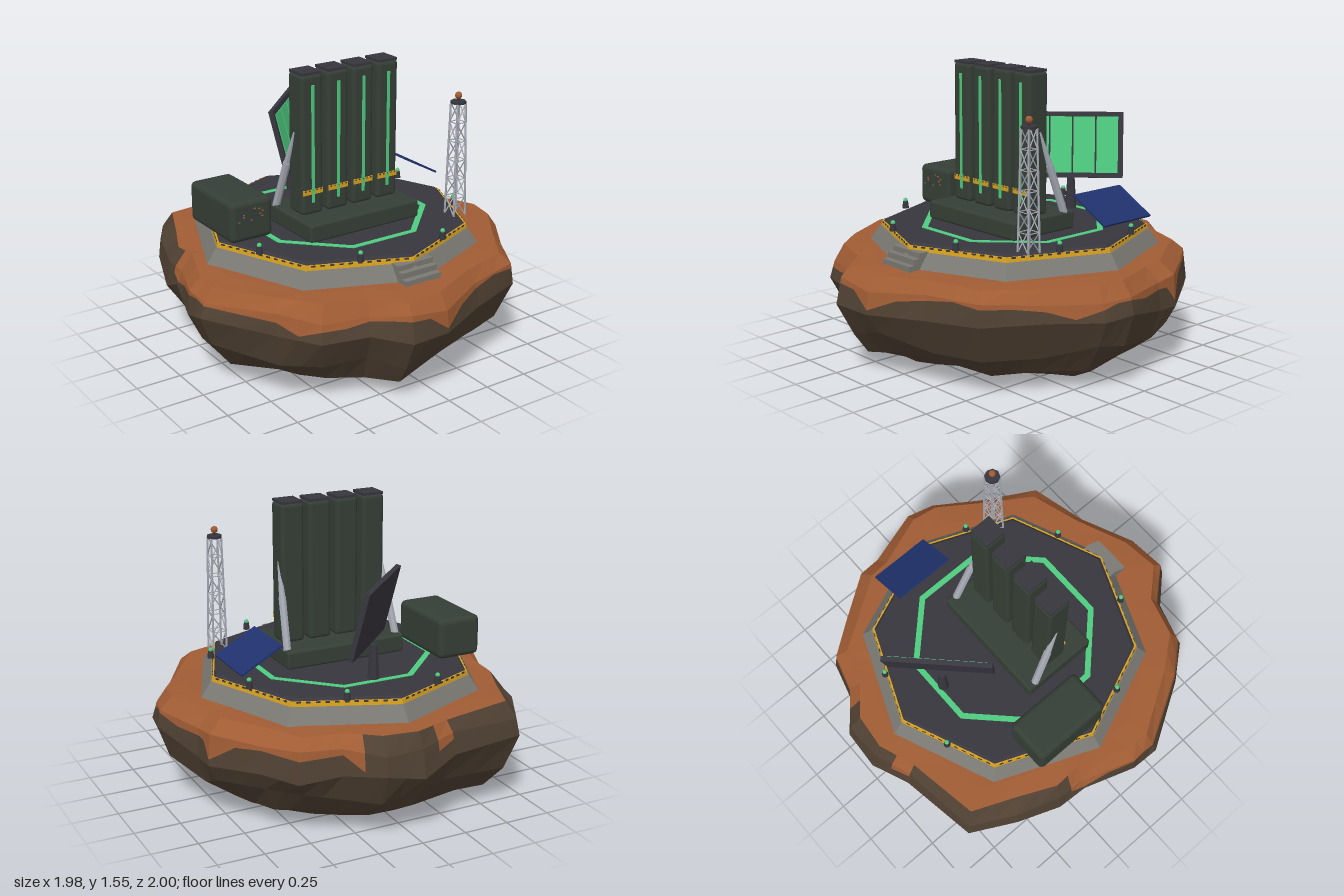
import * as THREE from 'three';
import { RoundedBoxGeometry } from 'three/addons/geometries/RoundedBoxGeometry.js';

const mat = (name, color) => {
  const m = new THREE.MeshStandardMaterial({ color });
  m.name = name;
  return m;
};
const M = {
  rock: mat('brown rock', 0x4f4032),
  soil: mat('rust soil', 0xa05c34),
  concrete: mat('concrete', 0x7b7973),
  deck: mat('dark deck', 0x38363e),
  olive: mat('dark olive', 0x353f36),
  green: mat('signal green', 0x4ecb7f),
  yellow: mat('warning yellow', 0xd6a01e),
  blue: mat('solar blue', 0x20326e),
  metal: mat('light metal', 0xa6a9b3),
};
const V = (x, y, z) => new THREE.Vector3(x, y, z);
const CX = -0.01, CZ = -0.03; // platform centre

let seed = 7;
const rand = () => (seed = (seed * 16807) % 2147483647) / 2147483647;
const jitter = (a) => (rand() - 0.5) * 2 * a;

function flat(geo) {
  const g = geo.index ? geo.toNonIndexed() : geo;
  g.computeVertexNormals();
  return g;
}
function add(parent, name, geo, material, x = 0, y = 0, z = 0) {
  const m = new THREE.Mesh(geo, material);
  m.name = name;
  m.position.set(x, y, z);
  parent.add(m);
  return m;
}
const box = (p, name, material, w, h, d, x, y, z) =>
  add(p, name, new THREE.BoxGeometry(w, h, d), material, x, y, z);
const rounded = (p, name, material, w, h, d, r, x, y, z) =>
  add(p, name, new RoundedBoxGeometry(w, h, d, 3, r), material, x, y, z);
function group(parent, name) {
  const g = new THREE.Group();
  g.name = name;
  parent.add(g);
  return g;
}
// Straight bar from a to b
function beam(p, name, material, a, b, ra, rb = ra, sides = 5) {
  const dir = b.clone().sub(a);
  const m = add(p, name, flat(new THREE.CylinderGeometry(rb, ra, dir.length(), sides)), material);
  m.position.copy(a).addScaledVector(dir, 0.5);
  m.quaternion.setFromUnitVectors(V(0, 1, 0), dir.normalize());
}

// Faceted boulder: one plan outline scaled through a stack of rings
function buildRock(root) {
  const outline = [
    [-0.01, -1], [0.2, -0.99], [0.37, -0.85], [0.58, -0.79], [0.71, -0.62], [0.88, -0.36],
    [0.89, -0.23], [0.99, 0.08], [0.96, 0.24], [0.79, 0.48], [0.61, 0.76], [0.3, 0.85],
    [0, 0.98], [-0.23, 1], [-0.38, 0.84], [-0.62, 0.77], [-0.77, 0.59], [-0.99, 0.23],
    [-0.98, 0.08], [-0.89, -0.21], [-0.87, -0.37], [-0.79, -0.61], [-0.66, -0.85], [-0.23, -0.92],
  ];
  // height, scale, height jitter, scale jitter
  const levels = [
    [0, 0, 0, 0], [0, 0.5, 0, 0.05], [0.035, 0.67, 0.015, 0.03], [0.11, 0.81, 0.03, 0.03],
    [0.23, 0.925, 0.04, 0.025], [0.38, 1, 0.04, 0], [0.505, 0.975, 0.02, 0.012],
    [0.572, 0.91, 0.008, 0.015], [0.578, 0.8, 0, 0], [0.578, 0, 0, 0],
  ];
  const rings = levels.map(([y, s, jy, js]) => {
    const pts = outline.map(([x, z]) => {
      const k = s + jitter(js);
      return V(x * k, y + jitter(jy), z * k);
    });
    return pts.flatMap((p, i) => [p, p.clone().lerp(pts[(i + 1) % pts.length], 0.5)]);
  });
  // Ragged soil edge with drips, lying on the band between two rings
  const edge = rings[5].map((p, i) => p.clone().lerp(rings[6][i], i % 7 === 3 ? 0.2 : 0.55 + rand() * 0.4));
  rings.splice(6, 0, edge);

  const rock = [], soil = [];
  const n = edge.length;
  for (let k = 0; k < rings.length - 1; k++) {
    for (let i = 0; i < n; i++) {
      const j = (i + 1) % n, a = rings[k], b = rings[k + 1];
      const bareBack = k < 8 && ((i >= 39 && i < 46) || i < 3 || i === 47);
      const out = k < 6 || bareBack ? rock : soil;
      for (const p of [a[j], a[i], b[i], a[j], b[i], b[j]]) out.push(p.x, p.y, p.z);
    }
  }
  const make = (data) => {
    const g = new THREE.BufferGeometry();
    g.setAttribute('position', new THREE.Float32BufferAttribute(data, 3));
    return flat(g);
  };
  add(root, 'rockBody', make(rock), M.rock);
  add(root, 'soilCap', make(soil), M.soil);
}

function buildPlatform(root) {
  const p = group(root, 'platform');
  const tier = (name, material, rTop, rBottom, y0, y1) =>
    add(p, name, flat(new THREE.CylinderGeometry(rTop, rBottom, y1 - y0, 8)), material, CX, (y0 + y1) / 2, CZ);
  tier('foundation', M.concrete, 0.735, 0.795, 0.57, 0.657);
  tier('warningBand', M.yellow, 0.725, 0.73, 0.657, 0.682);
  tier('deck', M.deck, 0.7, 0.715, 0.682, 0.694);

  // Dark dashes along the warning band, and a marker lamp on each side
  for (let k = 0; k < 8; k++) {
    const side = group(p, 'platformSide');
    side.position.set(CX, 0, CZ);
    side.rotation.y = (k + 0.5) * Math.PI / 4;
    for (let i = -5; i <= 5; i++)
      box(side, 'bandDash', M.deck, 0.022, 0.008, 0.006, i * 0.048, 0.678, 0.67);
    add(side, 'lampPost', new THREE.CylinderGeometry(0.014, 0.019, 0.04, 10), M.deck, 0, 0.71, 0.68);
    add(side, 'lampLight', new THREE.SphereGeometry(0.013, 10, 8), M.green, 0, 0.735, 0.68);
  }

  // Green octagonal landing ring
  const oct = (r, target) => {
    const pts = [];
    for (let i = 0; i < 8; i++) {
      const a = (i + 0.5) * Math.PI / 4;
      pts.push(new THREE.Vector2(Math.cos(a) * r, Math.sin(a) * r));
    }
    return target.setFromPoints(pts);
  };
  const shape = oct(0.522, new THREE.Shape());
  shape.holes.push(oct(0.488, new THREE.Path()));
  const ring = add(p, 'deckRing', new THREE.ExtrudeGeometry(shape, { depth: 0.004, bevelEnabled: false }), M.green, CX, 0.693, CZ);
  ring.rotation.x = -Math.PI / 2;

  // Entrance steps
  [[0.605, 0.78], [0.635, 0.745], [0.663, 0.712]].forEach(([top, front]) =>
    box(p, 'step', M.concrete, 0.22, top - 0.57, front - 0.6, CX, (top + 0.57) / 2, (front + 0.6) / 2));
}

function buildTubes(root) {
  const g = group(root, 'tubeBattery');
  rounded(g, 'tubeBase', M.olive, 0.695, 0.1, 0.435, 0.015, -0.012, 0.741, 0.065);
  for (let i = 0; i < 4; i++) {
    const x = -0.25 + i * 0.159;
    rounded(g, 'tube', M.olive, 0.13, 0.76, 0.135, 0.022, x, 1.165, 0.07);
    box(g, 'tubeCap', M.deck, 0.118, 0.014, 0.122, x, 1.548, 0.07);
    box(g, 'tubeWarningStripe', M.yellow, 0.122, 0.028, 0.006, x, 0.914, 0.137);
    for (let k = -2; k <= 2; k++)
      box(g, 'stripeDash', M.deck, 0.007, 0.008, 0.002, x + k * 0.024, 0.923, 0.141);
    box(g, 'tubeLight', M.green, 0.017, 0.635, 0.006, x, 1.172, 0.139);
  }
  // Rear support struts
  for (const s of [-1, 1]) {
    const low = V(-0.012 + s * 0.325, 0.78, -0.095), high = V(-0.012 + s * 0.298, 1.23, 0.06);
    const mid = low.clone().lerp(high, 0.6);
    beam(g, 'strutSleeve', M.metal, low, mid, 0.021, 0.021, 8);
    beam(g, 'strutRod', M.metal, mid, high, 0.018, 0.008, 8);
  }
}

function buildScreen(root) {
  const g = group(root, 'screen');
  g.position.set(-0.005, 1.055, -0.47);
  g.rotation.set(-0.24, Math.PI / 4, 0, 'YXZ');
  box(g, 'screenFrame', M.deck, 0.565, 0.37, 0.026, 0, 0, 0);
  for (let i = 0; i < 4; i++)
    box(g, 'screenPane', M.green, 0.12, 0.315, 0.006, (i - 1.5) * 0.129, 0, 0.014);
  add(root, 'screenStand', flat(new THREE.CylinderGeometry(0.02, 0.032, 0.19, 8)), M.deck, -0.005, 0.785, -0.46);
}

function buildTower(root) {
  const g = group(root, 'latticeTower');
  g.position.set(0.527, 0.69, 0.357);
  const H = 0.63, N = 6;
  const corner = (k, t) => {
    const w = 0.039 - 0.011 * t, a = Math.PI / 4 + k * Math.PI / 2;
    return V(Math.cos(a) * w * Math.SQRT2, t * H, Math.sin(a) * w * Math.SQRT2);
  };
  for (let k = 0; k < 4; k++) {
    beam(g, 'towerLeg', M.metal, corner(k, 0), corner(k, 1), 0.006);
    for (let i = 0; i < N; i++) {
      const flip = i % 2;
      beam(g, 'towerBrace', M.metal, corner(k + flip, i / N), corner(k + 1 - flip, (i + 1) / N), 0.0035);
      beam(g, 'towerRung', M.metal, corner(k, (i + 1) / N), corner(k + 1, (i + 1) / N), 0.003);
    }
  }
  add(g, 'towerPlate', new THREE.CylinderGeometry(0.042, 0.042, 0.014, 8), M.deck, 0, H + 0.005, 0);
  add(g, 'beaconNeck', new THREE.CylinderGeometry(0.008, 0.008, 0.02, 8), M.deck, 0, H + 0.018, 0);
  add(g, 'beacon', new THREE.SphereGeometry(0.019, 12, 10), M.soil, 0, H + 0.042, 0);
}

export function createModel() {
  const root = new THREE.Group();
  root.name = 'floatingOutpost';
  buildRock(root);
  buildPlatform(root);
  buildTubes(root);
  buildScreen(root);
  buildTower(root);

  // Storage container with rust flecks on the front
  rounded(root, 'container', M.olive, 0.25, 0.222, 0.445, 0.03, -0.58, 0.803, -0.153);
  for (let i = 0; i < 14; i++)
    box(root, 'rustFleck', i % 3 ? M.soil : M.blue, 0.012, 0.006, 0.004,
      -0.58 + jitter(0.085), 0.835 + jitter(0.035), 0.07);

  // Tilted solar panel
  const solar = box(root, 'solarPanel', M.blue, 0.258, 0.011, 0.345, 0.575, 0.852, -0.188);
  solar.rotation.z = -0.505;
  return root;
}
